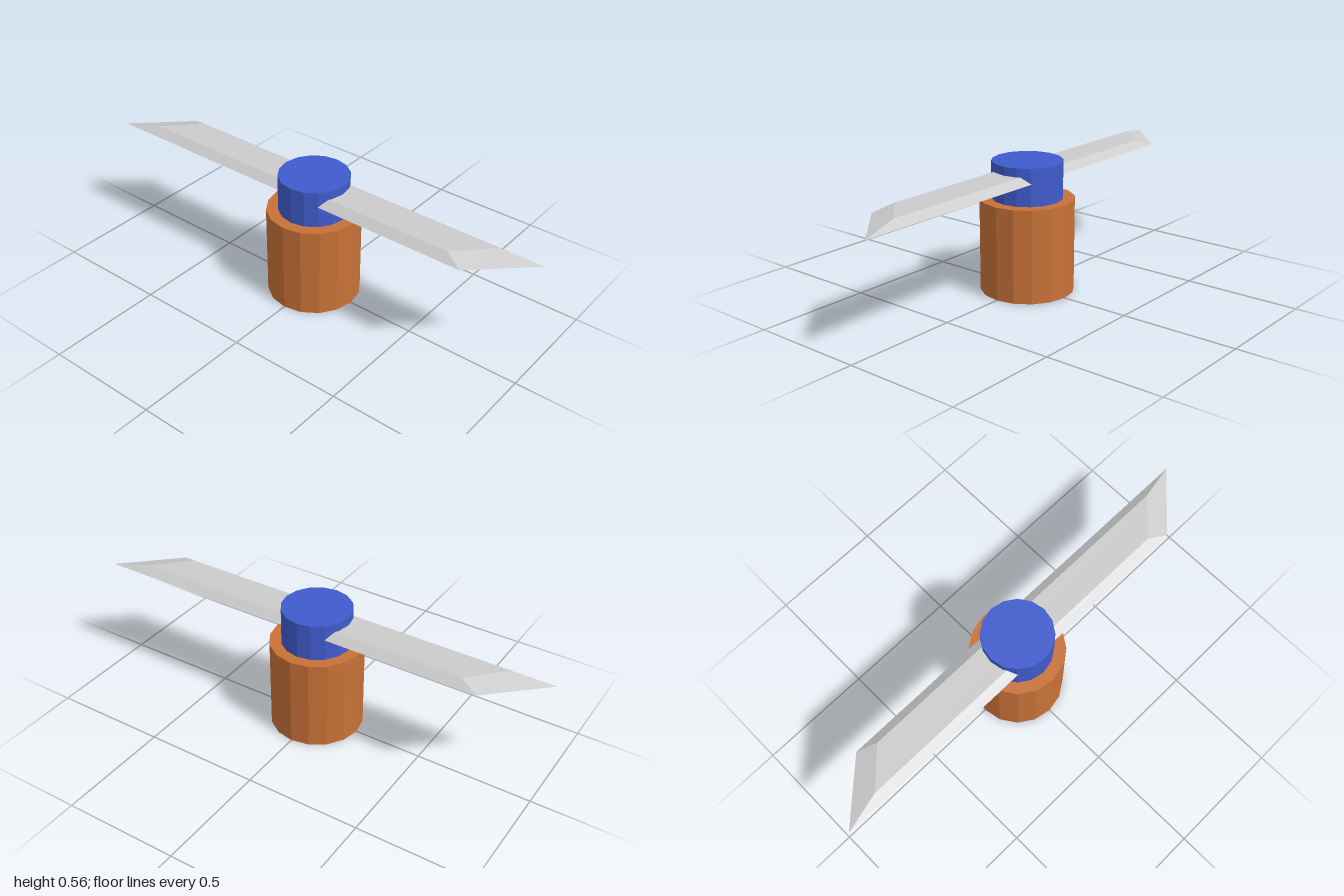
import * as THREE from 'three';

const SIDES = 16;

function drum(name, radius, bottom, top, color) {
  const mesh = new THREE.Mesh(
    new THREE.CylinderGeometry(radius, radius, top - bottom, SIDES),
    new THREE.MeshStandardMaterial({ color, flatShading: true })
  );
  mesh.name = name;
  mesh.position.y = (bottom + top) / 2;
  return mesh;
}

// Bevelled bar: a box tapered towards its top and slanted so the ends are skewed
function bladeGeometry() {
  const lower = { y: 0.497, halfX: 0.885, halfZ: 0.108, skew: 0.115 };
  const upper = { y: 0.525, halfX: 0.76, halfZ: 0.07, skew: 0.07 };
  const geometry = new THREE.BoxGeometry(2, 2, 2);
  const pos = geometry.attributes.position;
  for (let i = 0; i < pos.count; i++) {
    const ring = pos.getY(i) > 0 ? upper : lower;
    const sx = pos.getX(i), sz = pos.getZ(i);
    pos.setXYZ(i, sx * ring.halfX - sz * ring.skew, ring.y, sz * ring.halfZ);
  }
  geometry.computeVertexNormals();
  return geometry;
}

export function createModel() {
  const group = new THREE.Group();
  group.name = 'bladeAssembly';

  // Base and the narrower hub standing on it
  group.add(drum('base', 0.2, 0, 0.402, 0xc87137));
  group.add(drum('hub', 0.15, 0.402, 0.562, 0x3f5bcc));

  // Double-ended blade running through the hub
  const blade = new THREE.Mesh(
    bladeGeometry(),
    new THREE.MeshStandardMaterial({ color: 0xcccccc, flatShading: true })
  );
  blade.name = 'blade';
  group.add(blade);

  return group;
}
